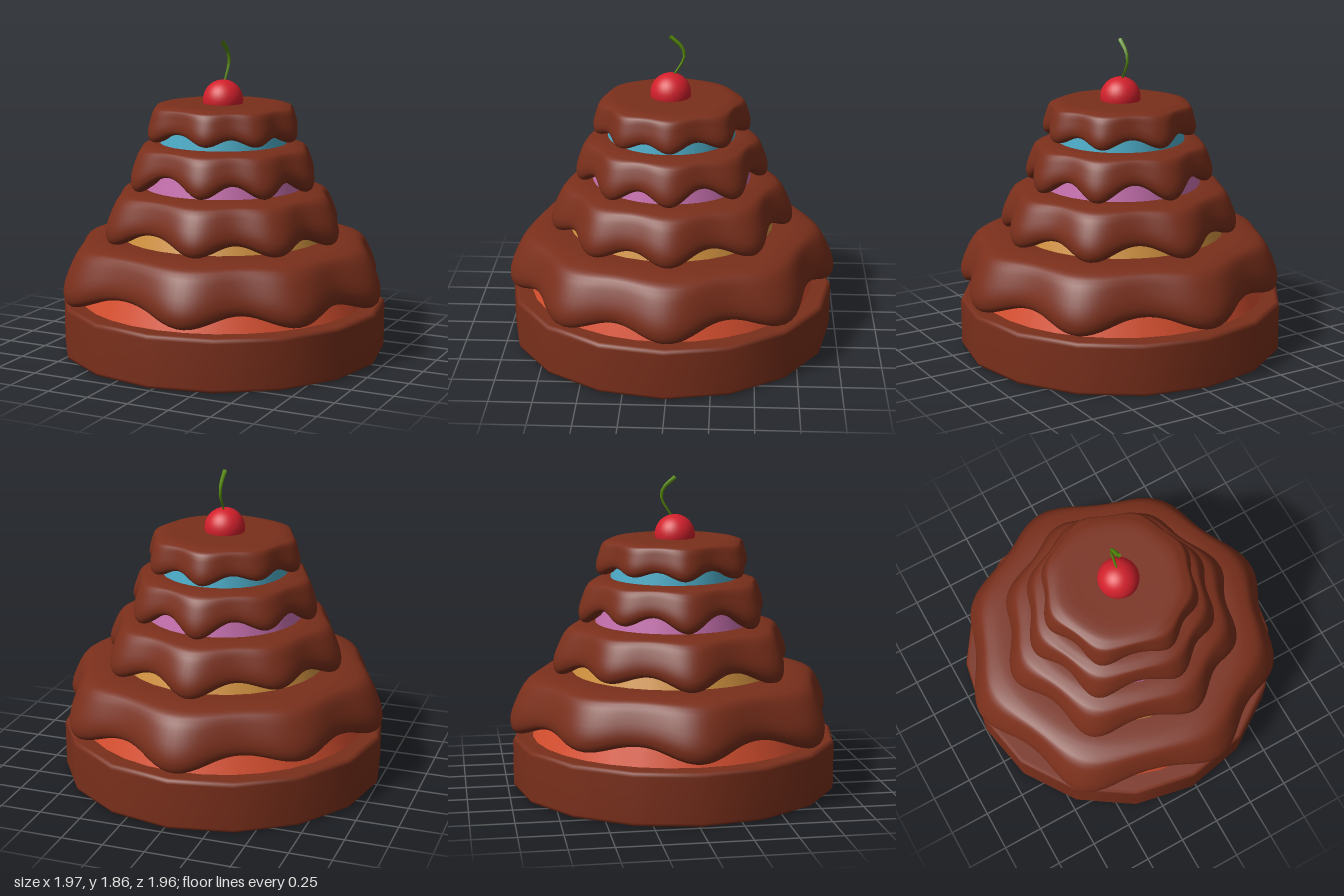
import * as THREE from 'three';

const CHOCOLATE = 0x7a2f1b;
const CX = -0.025, CZ = 0.01;

// icing drips around the cake: [angle in degrees from +x towards +z, strength]
const DRIPS = [[-1, 1], [38, 1], [78, 0.95], [132, 1.05], [180, 0.95], [223, 0.7], [268, 1], [315, 1]];

const TIERS = [
  { name: 'bottom', color: 0xd95030, base: 0.3, top: 0.695, topR: 0.78, gapR: 0.87, dripR: 0.99, gapY: 0.45, dripY: 0.345, cake: [0.86, 0.75] },
  { name: 'lower', color: 0xd0913f, base: 0.68, top: 0.99, topR: 0.56, gapR: 0.63, dripR: 0.73, gapY: 0.79, dripY: 0.69, cake: [0.62, 0.54] },
  { name: 'upper', color: 0xca72b2, base: 0.98, top: 1.255, topR: 0.455, gapR: 0.5, dripR: 0.575, gapY: 1.11, dripY: 0.995, cake: [0.475, 0.44] },
  { name: 'top', color: 0x50b2cf, base: 1.24, top: 1.49, topR: 0.385, gapR: 0.41, dripR: 0.468, gapY: 1.345, dripY: 1.28, cake: [0.38, 0.365] },
];

function part(name, geometry, color, side = THREE.FrontSide) {
  const mesh = new THREE.Mesh(geometry, new THREE.MeshStandardMaterial({ color, side, roughness: 0.7 }));
  mesh.name = name;
  return mesh;
}

// how much icing runs down at a given angle
function dripAmount(deg) {
  let sum = 0;
  for (const [centre, strength] of DRIPS) {
    const d = ((deg - centre + 540) % 360) - 180;
    sum += strength * Math.exp(-((d / 15) ** 2));
  }
  return sum;
}

// icing: a profile swept round the cake, reaching lower and wider at each drip
function icingGeometry({ top, topR, gapR, dripR, gapY, dripY, cake }) {
  const around = 144, steps = 32;
  const positions = [], indices = [];
  for (let i = 0; i < around; i++) {
    const deg = (i / around) * 360, a = THREE.MathUtils.degToRad(deg);
    const d = dripAmount(deg);
    const R = THREE.MathUtils.lerp(gapR, dripR, d);
    const low = THREE.MathUtils.lerp(gapY, dripY, d);
    const T = topR * (0.99 + 0.03 * d), w = R - T, h = top - low;
    const lip = Math.min(0.09, R - cake[0] * 0.96);
    const profile = new THREE.CatmullRomCurve3([
      [0, top], [T * 0.5, top], [T * 0.9, top], [T, top - 0.01],
      [T + 0.45 * w, top - 0.12 * h], [T + 0.78 * w, top - 0.4 * h],
      [R, top - 0.75 * h], [R - 0.12 * lip, low + 0.06 * h],
      [R - 0.5 * lip, low], [R - lip, low + 0.08 * h],
      [cake[1] * 0.96, low + 0.3 * h],
    ].map(([r, y]) => new THREE.Vector3(r, y, 0)), false, 'centripetal');
    for (let j = 0; j <= steps; j++) {
      const p = profile.getPoint(j / steps);
      positions.push(p.x * Math.cos(a), p.y, p.x * Math.sin(a));
      if (j === steps) continue;
      const here = i * (steps + 1) + j, next = ((i + 1) % around) * (steps + 1) + j;
      if (j > 0) indices.push(here, next, here + 1);
      indices.push(next, next + 1, here + 1);
    }
  }
  const g = new THREE.BufferGeometry();
  g.setAttribute('position', new THREE.Float32BufferAttribute(positions, 3));
  g.setIndex(indices);
  g.computeVertexNormals();
  return g;
}

// stem: a bent tube that thickens towards its tip
function stemGeometry() {
  const path = new THREE.CatmullRomCurve3([
    [0, 1.6, 0], [0, 1.66, -0.04], [0, 1.72, -0.075], [0, 1.785, -0.066], [0, 1.85, 0.008],
  ].map((p) => new THREE.Vector3(...p)), false, 'catmullrom', 0.2);
  const rings = 8, sides = 6;
  const g = new THREE.TubeGeometry(path, rings, 0.014, sides);
  const pos = g.attributes.position, v = new THREE.Vector3();
  for (let i = 0; i < pos.count; i++) {
    const t = Math.floor(i / (sides + 1)) / rings;
    const c = path.getPointAt(t);
    v.fromBufferAttribute(pos, i).sub(c).multiplyScalar(0.35 + 0.65 * t).add(c);
    pos.setXYZ(i, v.x, v.y, v.z);
  }
  g.computeVertexNormals();
  return g;
}

export function createModel() {
  const model = new THREE.Group();
  model.name = 'tieredCake';
  const cake = new THREE.Group();
  cake.name = 'cake';
  cake.position.set(CX, 0, CZ);
  model.add(cake);

  // sixteen-sided base with softened rims
  const rim = [[0, 0], [0.95, 0], [0.968, 0.007], [0.975, 0.025], [0.975, 0.285], [0.968, 0.303], [0.95, 0.31], [0, 0.31]];
  cake.add(part('base', new THREE.LatheGeometry(rim.map(([r, y]) => new THREE.Vector2(r, y)), 16), CHOCOLATE));

  // four tiers, each a tapered sponge under dripping icing
  for (const tier of TIERS) {
    const group = new THREE.Group();
    group.name = tier.name + 'Tier';
    const height = tier.top - 0.05 - tier.base;
    const sponge = part('sponge', new THREE.CylinderGeometry(tier.cake[1], tier.cake[0], height, 32), tier.color);
    sponge.position.y = tier.base + height / 2;
    group.add(sponge, part('icing', icingGeometry(tier), CHOCOLATE, THREE.DoubleSide));
    cake.add(group);
  }

  // cherry and stem
  const cherry = part('cherry', new THREE.SphereGeometry(0.12, 32, 20), 0xd3202c);
  cherry.position.set(0, 1.51, 0.005);
  cake.add(cherry, part('stem', stemGeometry(), 0x568a0c, THREE.DoubleSide));
  return model;
}
